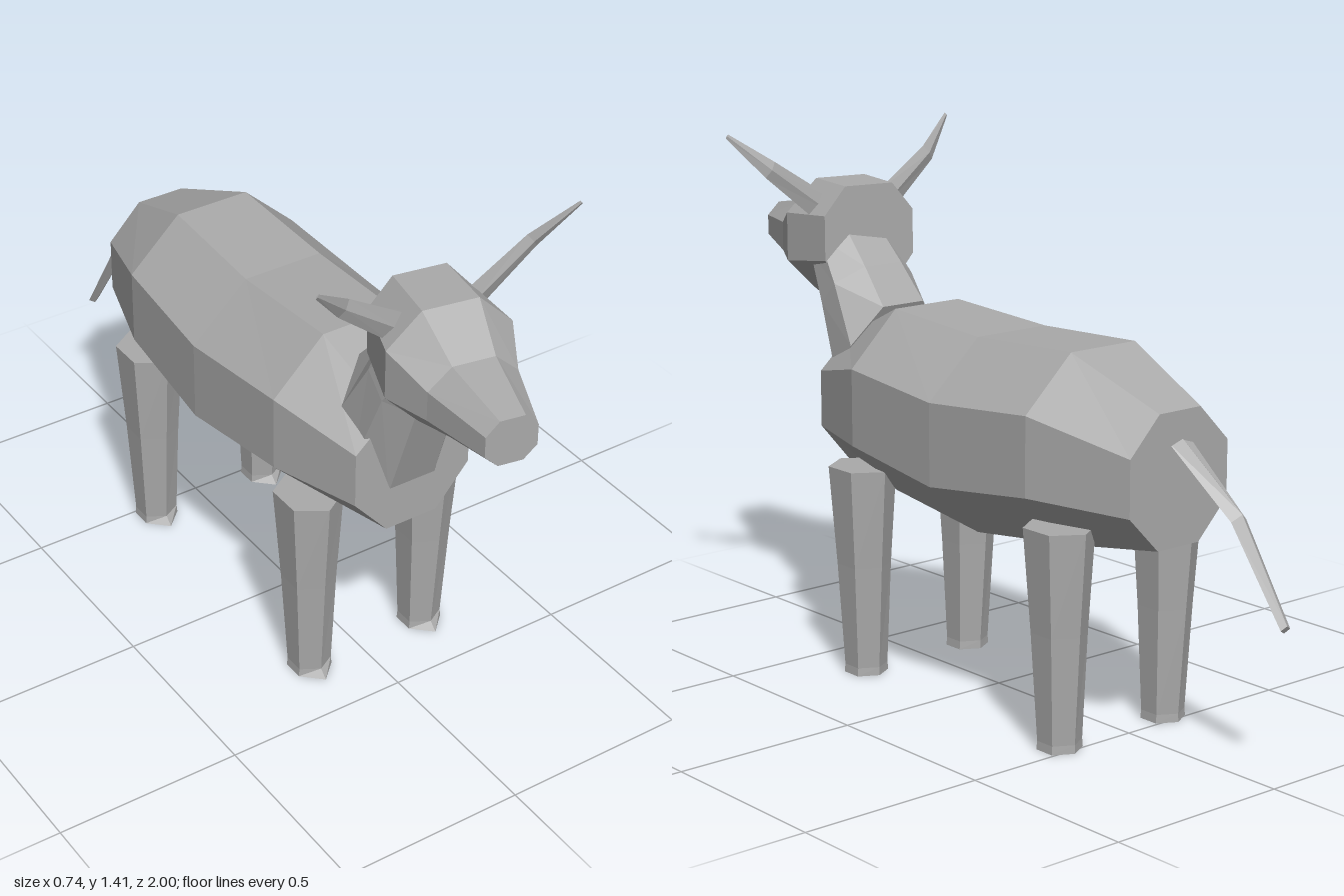
import * as THREE from 'three';

const hide = new THREE.MeshStandardMaterial({ color: 0xaaaaaa, flatShading: true });
hide.name = 'grey hide';

// Faceted solid through rings of points, with flat end caps
function loft(name, rings) {
  const tris = [];
  const n = rings[0].length;
  for (let r = 0; r < rings.length - 1; r++) {
    for (let i = 0; i < n; i++) {
      const j = (i + 1) % n;
      const a = rings[r][i], b = rings[r][j], c = rings[r + 1][j], d = rings[r + 1][i];
      tris.push([a, b, c], [a, c, d]);
    }
  }
  const last = rings[rings.length - 1];
  for (let i = 1; i < n - 1; i++) {
    tris.push([rings[0][0], rings[0][i + 1], rings[0][i]], [last[0], last[i], last[i + 1]]);
  }
  // Turn every face outward
  const cross = new THREE.Vector3();
  const volume = tris.reduce((sum, [a, b, c]) => sum + a.dot(cross.crossVectors(b, c)), 0);
  if (volume < 0) tris.forEach((t) => t.reverse());
  const geometry = new THREE.BufferGeometry().setFromPoints(tris.flat());
  geometry.computeVertexNormals();
  const mesh = new THREE.Mesh(geometry, hide);
  mesh.name = name;
  return mesh;
}

// Octagon at depth z: half width, half width of the flats, four heights from top to bottom
function octagon(z, w, f, top, upper, lower, bottom) {
  return [[f, top], [w, upper], [w, lower], [f, bottom], [-f, bottom], [-w, lower], [-w, upper], [-f, top]]
    .map(([x, y]) => new THREE.Vector3(x, y, z));
}

// Octagon leaning between a back point and a front point, each [z, y]
function leaningOctagon(w, f, back, front) {
  return [[f, 0], [w, 0.3], [w, 0.7], [f, 1], [-f, 1], [-w, 0.7], [-w, 0.3], [-f, 0]].map(([x, t]) =>
    new THREE.Vector3(x, THREE.MathUtils.lerp(back[1], front[1], t), THREE.MathUtils.lerp(back[0], front[0], t)));
}

// Diamond around a centre, spanned by two half axes
function diamond(centre, u, v) {
  const c = new THREE.Vector3(...centre), a = new THREE.Vector3(...u), b = new THREE.Vector3(...v);
  return [c.clone().add(a), c.clone().add(b), c.clone().sub(a), c.clone().sub(b)];
}

// Six-sided leg with a ridge in front and a small pointed hoof
function leg(name, side, z) {
  const hexagon = (x, y, w, d, toe = d) =>
    [[0, toe], [w, d / 2], [w, -d / 2], [0, -d], [-w, -d / 2], [-w, d / 2]]
      .map(([dx, dz]) => new THREE.Vector3(side * x + dx, y, z + dz));
  return loft(name, [
    hexagon(0.175, 0, 0.051, 0.057, 0.078),
    hexagon(0.175, 0.022, 0.049, 0.056),
    hexagon(0.178, 0.3, 0.06, 0.075),
    hexagon(0.18, 0.565, 0.075, 0.096),
  ]);
}

export function createModel() {
  const model = new THREE.Group();
  model.name = 'hornedAnimal';

  // Trunk, neck and legs share a centre line slightly to the left
  const trunk = new THREE.Group();
  trunk.name = 'trunk';
  trunk.position.x = 0.025;
  model.add(trunk);

  trunk.add(loft('body', [
    octagon(0.5, 0.17, 0.075, 0.87, 0.785, 0.635, 0.525),
    octagon(0.26, 0.25, 0.105, 0.98, 0.84, 0.637, 0.495),
    octagon(-0.08, 0.27, 0.112, 0.96, 0.815, 0.6, 0.455),
    octagon(-0.42, 0.25, 0.105, 0.975, 0.84, 0.637, 0.495),
    octagon(-0.69, 0.16, 0.067, 0.865, 0.77, 0.625, 0.53),
  ]));

  trunk.add(loft('neck', [
    leaningOctagon(0.145, 0.067, [0.36, 0.965], [0.495, 0.63]),
    leaningOctagon(0.13, 0.06, [0.445, 1.06], [0.588, 0.915]),
    leaningOctagon(0.11, 0.052, [0.55, 1.165], [0.645, 1.04]),
  ]));

  for (const [end, z] of [['front', 0.31], ['back', -0.465]]) {
    trunk.add(leg(end + 'LeftLeg', 1, z), leg(end + 'RightLeg', -1, z));
  }

  // Head, turned a little to its right
  const head = loft('head', [
    octagon(0, 0.132, 0.07, 1.265, 1.19, 1.07, 0.99),
    octagon(0.165, 0.162, 0.073, 1.267, 1.18, 1.05, 0.96),
    octagon(0.29, 0.115, 0.055, 1.187, 1.133, 1.055, 0.993),
    octagon(0.485, 0.066, 0.032, 1.157, 1.122, 1.068, 1.035),
  ]);
  head.position.set(0.02, 0, 0.51);
  head.rotation.y = -0.175;
  model.add(head);

  // Flat, curved horns
  for (const side of [1, -1]) {
    model.add(loft(side > 0 ? 'leftHorn' : 'rightHorn', [
      diamond([side * 0.1, 1.195, 0.6], [side * 0.024, -0.03, 0], [0, 0, 0.012]),
      diamond([side * 0.265, 1.315, 0.614], [side * 0.015, -0.02, 0], [0, 0, 0.009]),
      diamond([side * 0.368, 1.407, 0.66], [side * 0.004, -0.005, 0], [0, 0, 0.003]),
    ]));
  }

  // Tail, hanging back and bending down
  model.add(loft('tail', [
    diamond([0.018, 0.79, -0.68], [0.036, 0, 0], [0, 0.025, 0.015]),
    diamond([-0.005, 0.625, -0.86], [0.025, 0, 0], [0, 0.017, -0.012]),
    diamond([-0.03, 0.385, -0.995], [0.016, 0, 0], [0, 0.01, -0.005]),
  ]));

  return model;
}
